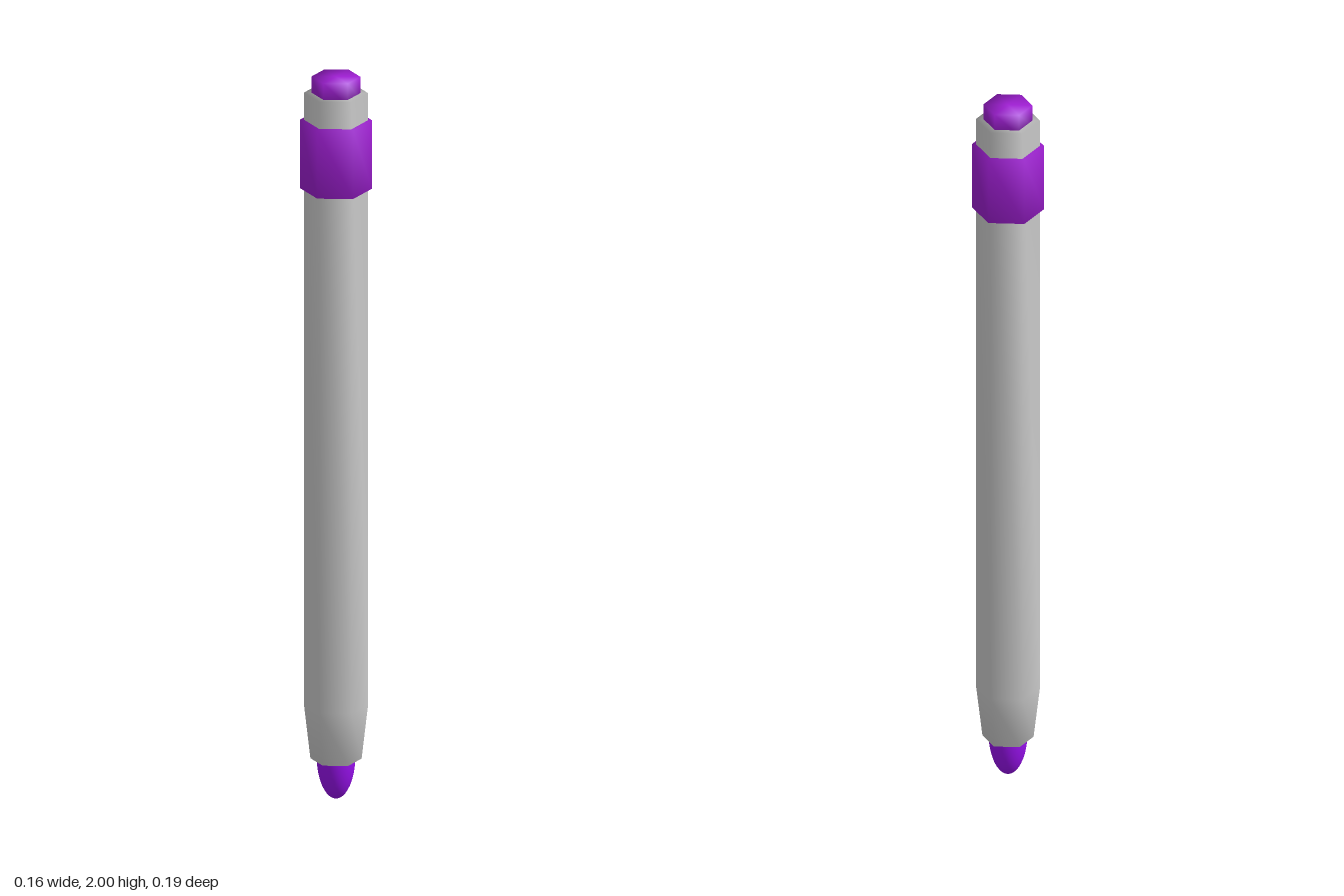
import * as THREE from 'three';
import { mergeVertices } from 'three/addons/utils/BufferGeometryUtils.js';

const grey = new THREE.MeshStandardMaterial({ color: 0xcccccc });
const purple = new THREE.MeshStandardMaterial({ color: 0xa01fd4 });
const violet = new THREE.MeshStandardMaterial({ color: 0x9a12f0 });

// Turned part from [radius, height] points (bottom to top), smooth across its edges
function turned(name, profile, sides, material) {
  const points = profile.map(([r, y]) => new THREE.Vector2(r, y));
  let geometry = new THREE.LatheGeometry(points, sides);
  geometry.deleteAttribute('normal');
  geometry.deleteAttribute('uv');
  geometry = mergeVertices(geometry, 1e-5);
  geometry.computeVertexNormals();
  const mesh = new THREE.Mesh(geometry, material);
  mesh.name = name;
  return mesh;
}

// Closed hexagonal prism with corners towards front and back
const hexPrism = (name, r, bottom, top, material) =>
  turned(name, [[0, bottom], [r, bottom], [r, top], [0, top]], 6, material);

export function createModel() {
  const pen = new THREE.Group();
  pen.name = 'pen';

  // Hexagonal barrel, tapering towards the tip
  pen.add(turned('barrel', [
    [0, 0.11], [0.067, 0.11], [0.084, 0.26], [0.084, 1.955], [0, 1.955],
  ], 6, grey));

  // Collar around the barrel and push button on the end
  pen.add(hexPrism('collar', 0.094, 1.69, 1.88, purple));
  pen.add(hexPrism('button', 0.064, 1.94, 2, purple));

  // Rounded writing tip: lower half of a stretched sphere
  const tipProfile = [];
  for (let i = 0; i <= 12; i++) {
    const a = (i / 12) * Math.PI / 2;
    tipProfile.push([0.051 * Math.sin(a), 0.12 * (1 - Math.cos(a))]);
  }
  tipProfile.push([0, 0.12]);
  pen.add(turned('tip', tipProfile, 32, violet));

  return pen;
}
